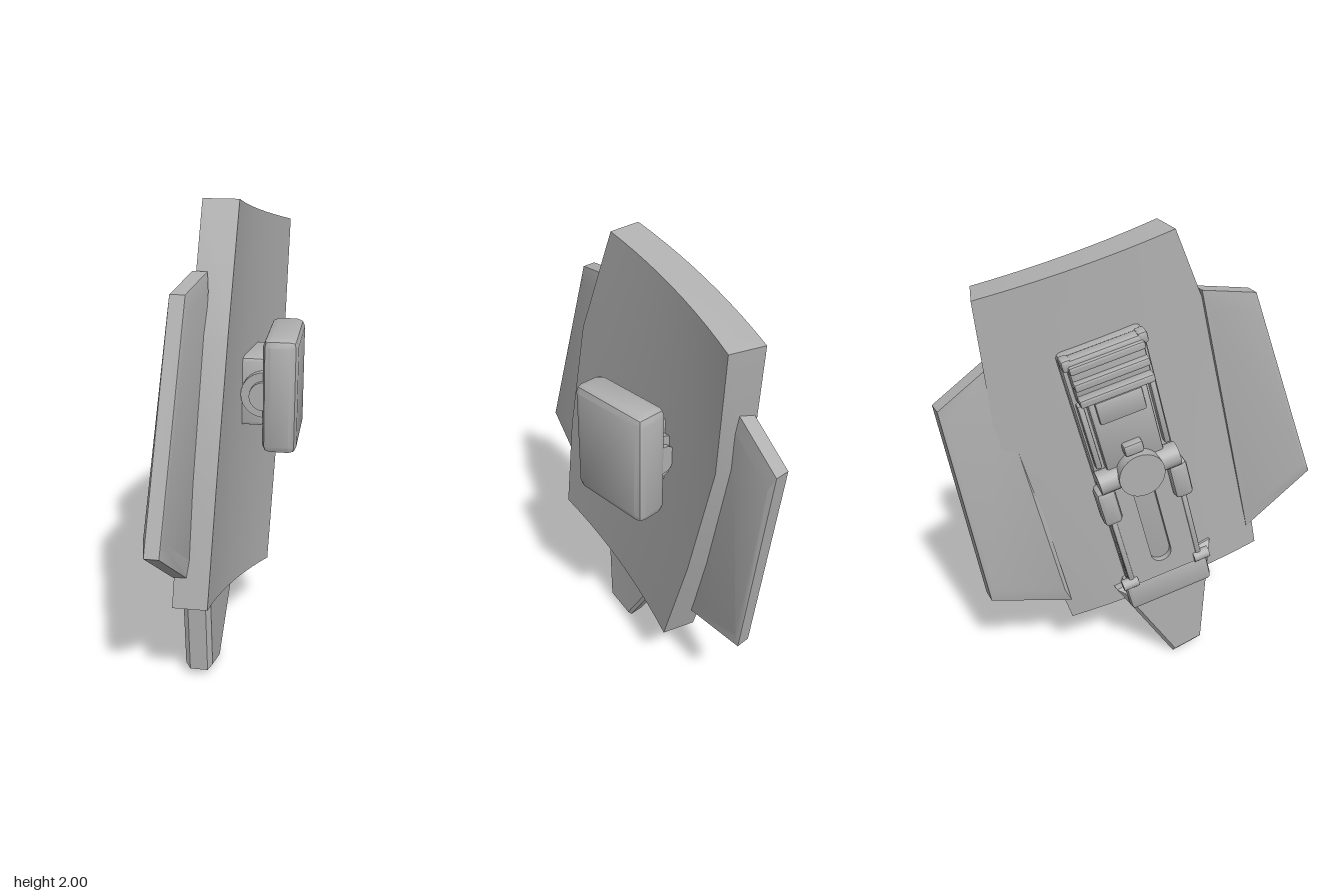
import * as THREE from 'three';
import { toCreasedNormals } from 'three/addons/utils/BufferGeometryUtils.js';
import { RoundedBoxGeometry } from 'three/addons/geometries/RoundedBoxGeometry.js';

const grey = new THREE.MeshStandardMaterial({ color: 0xb0b0b0 });
grey.name = 'plain grey';

function add(parent, name, geometry, x = 0, y = 0, z = 0) {
  const mesh = new THREE.Mesh(geometry, grey);
  mesh.name = name;
  mesh.position.set(x, y, z);
  parent.add(mesh);
  return mesh;
}

// Closed loft through rings of Vector3; the even-sized end rings are capped with strips
function loft(rings) {
  const n = rings[0].length, tris = [];
  const quad = (a, b, c, d) => tris.push([a, b, c], [a, c, d]);
  for (let r = 0; r < rings.length - 1; r++)
    for (let i = 0; i < n; i++) {
      const j = (i + 1) % n;
      quad(rings[r][i], rings[r][j], rings[r + 1][j], rings[r + 1][i]);
    }
  const first = rings[0], last = rings[rings.length - 1];
  for (let i = 0; i < n / 2 - 1; i++) {
    quad(first[i], first[n - 1 - i], first[n - 2 - i], first[i + 1]);
    quad(last[i], last[i + 1], last[n - 2 - i], last[n - 1 - i]);
  }
  // Turn all faces outward
  const volume = tris.reduce((s, [a, b, c]) => s + a.dot(b.clone().cross(c)), 0);
  const points = tris.flatMap(([a, b, c]) => (volume < 0 ? [a, c, b] : [a, b, c]));
  const geometry = new THREE.BufferGeometry().setFromPoints(points);
  return toCreasedNormals(geometry, 0.5);
}

// Slab from corners [z, y, x of the +x face], with shallow bevels on both faces
function slab(corners, thickness, inset, bevel) {
  const cz = corners.reduce((s, c) => s + c[0], 0) / corners.length;
  const cy = corners.reduce((s, c) => s + c[1], 0) / corners.length;
  const layers = [[0, inset], [bevel, 1], [thickness - bevel, 1], [thickness, inset]];
  return loft(layers.map(([depth, k]) => corners.map(([z, y, x]) =>
    new THREE.Vector3(x - depth, cy + (y - cy) * k, cz + (z - cz) * k))));
}

const block = (w, h, d, r) => toCreasedNormals(new RoundedBoxGeometry(w, h, d, 1, r), 0.5);

// Main plate: rows of front and back edge points, bowed toward -x
function plateGeometry() {
  const rows = [
    [[0.035, 2.0, 0.13], [0.16, 1.82, -0.567]],
    [[0.02, 1.54, 0.325], [0.147, 1.32, -0.53]],
    [[-0.005, 1.0, 0.46], [0.128, 0.77, -0.395]],
    [[-0.03, 0.51, 0.55], [0.112, 0.30, -0.255]],
  ];
  const steps = 10;
  return loft(rows.map(([f, b]) => {
    const front = new THREE.Vector3(...f), back = new THREE.Vector3(...b);
    const inner = [], outer = [];
    for (let i = 0; i <= steps; i++) {
      const t = i / steps;
      const p = front.clone().lerp(back, t);
      p.x -= 0.12 * t * (1 - t);
      inner.push(p);
      outer.unshift(p.clone().add(new THREE.Vector3(-0.138, 0, -0.045 * t)));
    }
    return inner.concat(outer);
  }));
}

// Lower rail plate with a long rounded slot
function slottedPlate() {
  const s = new THREE.Shape([[-0.15, 0.14], [0.15, 0.14], [0.15, 0.66], [-0.15, 0.66]]
    .map(([x, y]) => new THREE.Vector2(x, y)));
  const hole = new THREE.Path();
  hole.absarc(0, 0.26, 0.045, Math.PI, 2 * Math.PI);
  hole.lineTo(0.045, 0.6);
  hole.lineTo(-0.045, 0.6);
  hole.closePath();
  s.holes.push(hole);
  return new THREE.ExtrudeGeometry(s, { depth: 0.03, bevelEnabled: false, curveSegments: 10 });
}

// Latch panel, built with width on X, length on Y and outward on Z
function latchPanel() {
  const g = new THREE.Group();
  g.name = 'latchPanel';
  add(g, 'panelBase', block(0.34, 1.26, 0.1, 0.02), 0, 0.65, 0.0);
  add(g, 'slottedPlate', slottedPlate(), 0, 0, 0.045);
  add(g, 'bottomCap', block(0.38, 0.15, 0.12, 0.02), 0, 0.075, 0.01);
  add(g, 'upperPlate', block(0.24, 0.32, 0.05, 0.01), 0, 0.92, 0.065);
  add(g, 'upperStep', block(0.19, 0.1, 0.03, 0.008), 0, 1.03, 0.09);

  // Ribbed head
  add(g, 'headBlock', block(0.3, 0.2, 0.06, 0.015), 0, 1.18, 0.06);
  for (let i = 0; i < 3; i++)
    add(g, 'headRib', block(0.3, 0.035, 0.05, 0.01), 0, 1.11 + i * 0.065, 0.105 - i * 0.012);

  // Hinge barrel with its round boss and catch
  add(g, 'hingeBarrel', new THREE.CylinderGeometry(0.05, 0.05, 0.34, 20), 0, 0.72, 0.08)
    .rotation.z = Math.PI / 2;
  const boss = add(g, 'hingeBoss', new THREE.CylinderGeometry(0.095, 0.095, 0.06, 28), 0, 0.72, 0.11);
  boss.rotation.x = Math.PI / 2;
  add(g, 'catch', block(0.08, 0.05, 0.05, 0.01), 0, 0.84, 0.1);

  // Paired side fittings
  for (const s of [-1, 1]) {
    add(g, 'sideClamp', block(0.08, 0.17, 0.09, 0.02), s * 0.155, 0.6, 0.065);
    add(g, 'sideRail', block(0.025, 0.4, 0.04, 0.008), s * 0.155, 0.34, 0.06);
    add(g, 'upperRail', block(0.025, 0.3, 0.04, 0.008), s * 0.145, 0.93, 0.06);
    add(g, 'headKnob', block(0.04, 0.05, 0.06, 0.012), s * 0.15, 1.26, 0.06);
    add(g, 'capKnob', new THREE.CylinderGeometry(0.025, 0.025, 0.07, 12), s * 0.165, 0.16, 0.07)
      .rotation.z = Math.PI / 2;
  }

  // Lean and turn the panel to lie on the plate
  const up = new THREE.Vector3(0.037, 0.97, -0.235).normalize();
  const wide = new THREE.Vector3(-0.16, 0.235, 0.96);
  wide.addScaledVector(up, -wide.dot(up)).normalize();
  const out = wide.clone().cross(up);
  g.quaternion.setFromRotationMatrix(new THREE.Matrix4().makeBasis(wide, up, out));
  g.position.set(-0.122, 0.385, 0.125);
  return g;
}

// Arm mount on the inner side
function armMount() {
  const g = new THREE.Group();
  g.name = 'armMount';
  add(g, 'mountPad', block(0.14, 0.48, 0.37, 0.032), 0.19, 1.225, -0.075);
  add(g, 'mountBlock', block(0.14, 0.29, 0.24, 0.015), 0.05, 1.225, -0.08);
  add(g, 'mountPivot', new THREE.CylinderGeometry(0.095, 0.095, 0.3, 28), 0.125, 1.225, -0.08)
    .rotation.x = Math.PI / 2;
  add(g, 'pivotPin', new THREE.CylinderGeometry(0.06, 0.06, 0.34, 24), 0.125, 1.225, -0.08)
    .rotation.x = Math.PI / 2;
  return g;
}

export function createModel() {
  const model = new THREE.Group();
  model.name = 'shield';
  add(model, 'mainPlate', plateGeometry());
  add(model, 'frontWing', slab([
    [0.24, 1.755, -0.06], [0.46, 1.72, -0.1], [0.775, 0.85, -0.15], [0.5, 0.61, -0.1],
  ], 0.072, 0.87, 0.008));
  add(model, 'backWing', slab([
    [-0.55, 1.57, 0.09], [-0.77, 1.41, 0.118], [-0.645, 0.49, 0.09], [-0.31, 0.415, 0.02],
  ], 0.078, 0.87, 0.008));
  add(model, 'bottomFin', slab([
    [0.31, 0.6, -0.065], [0.29, 0.04, -0.06], [0.15, 0, -0.05], [-0.12, 0.44, -0.015],
  ], 0.115, 0.9, 0.02));
  model.add(latchPanel(), armMount());
  return model;
}
